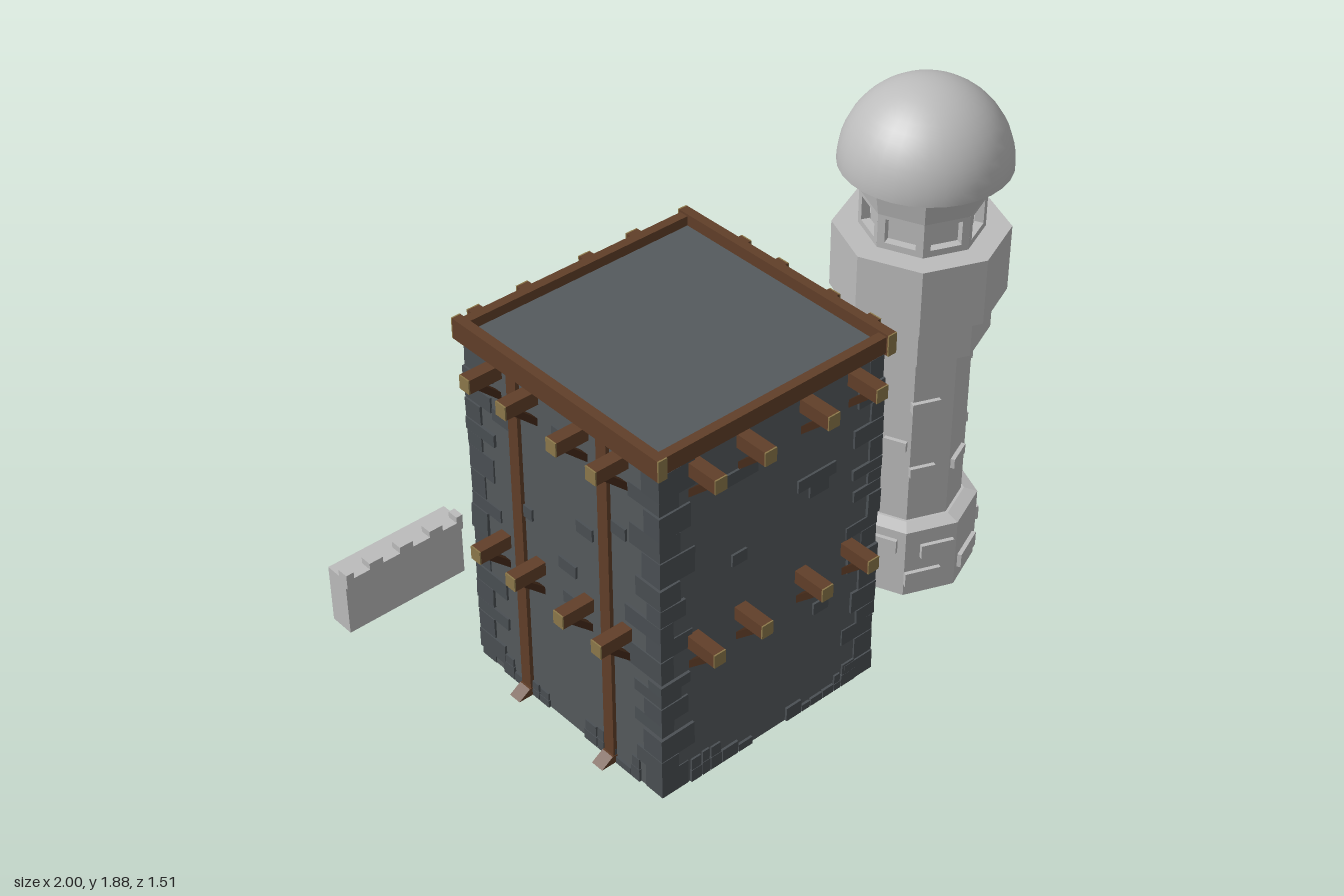
import * as THREE from 'three';

const mat = (name, color) => {
  const m = new THREE.MeshStandardMaterial({ color });
  m.name = name;
  return m;
};

export function createModel() {
  const M = {
    wall: mat('slate wall', 0x555a5d),
    stone: mat('dark stone', 0x4a4f53),
    wood: mat('brown timber', 0x613f29),
    darkWood: mat('dark timber', 0x462b1a),
    end: mat('cut timber end', 0x8c784a),
    door: mat('door wood', 0x6e4224),
    iron: mat('iron', 0x2c2c2e),
    grey: mat('pale grey stone', 0xbcbcbc),
  };
  const root = new THREE.Group();
  root.name = 'towerHouse';

  let seed = 7;
  const rnd = (a = 0, b = 1) => {
    seed = (seed * 16807) % 2147483647;
    return a + (b - a) * (seed / 2147483647);
  };
  const group = (parent, name, x = 0, y = 0, z = 0, ry = 0) => {
    const g = new THREE.Group();
    g.name = name;
    g.position.set(x, y, z);
    g.rotation.y = ry;
    parent.add(g);
    return g;
  };
  const add = (parent, name, geo, m, x = 0, y = 0, z = 0) => {
    const mesh = new THREE.Mesh(geo, m);
    mesh.name = name;
    mesh.position.set(x, y, z);
    parent.add(mesh);
    return mesh;
  };
  const box = (parent, name, m, w, h, d, x, y, z) =>
    add(parent, name, new THREE.BoxGeometry(w, h, d), m, x, y, z);
  // box given by its limits
  const span = (parent, name, m, x0, x1, y0, y1, z0, z1) =>
    box(parent, name, m, x1 - x0, y1 - y0, z1 - z0, (x0 + x1) / 2, (y0 + y1) / 2, (z0 + z1) / 2);

  // ---- square house ----
  const CX = -0.27, CZ = 0.175, HALF = 0.452;
  const house = group(root, 'house', CX, 0, CZ);
  span(house, 'walls', M.wall, -HALF, HALF, 0, 1.325, -HALF, HALF);

  // timber rim around the flat roof
  for (const s of [-1, 1]) {
    box(house, 'roofRimSide', M.wood, 0.034, 0.075, 0.95, s * 0.461, 1.33, 0);
    box(house, 'roofRimCross', M.wood, 0.9, 0.06, 0.034, 0, 1.33, s * 0.452);
    for (const t of [-1, 1])
      box(house, 'rimEnd', M.end, 0.034, 0.075, 0.006, s * 0.461, 1.33, t * 0.477);
  }

  // corner stones, alternating long and short
  const corners = group(house, 'cornerStones');
  for (const sx of [-1, 1]) for (const sz of [-1, 1]) {
    let y = 0, i = 0;
    while (y < 1.27) {
      const h = Math.min(rnd(0.035, 0.1), 1.3 - y);
      const longX = i++ % 2 === 0;
      const w = longX ? rnd(0.1, 0.14) : rnd(0.05, 0.085);
      const d = longX ? rnd(0.06, 0.09) : rnd(0.11, 0.18);
      const o = HALF + rnd(0.002, 0.011);
      const b = box(corners, 'cornerStone', M.stone, w, h - 0.004, d,
        sx * (o - w / 2), y + h / 2, sz * (o - d / 2));
      b.rotation.z = y > 0.1 ? rnd(-0.03, 0.03) : 0;
      y += h;
    }
  }

  // wall frames: local +z points outward, offsets run along the wall
  const beamsX = [-0.325, -0.13, 0.125, 0.325], beamsZ = [-0.295, -0.12, 0.115, 0.295];
  const sides = [
    { name: 'front', ry: 0, beams: beamsX },
    { name: 'back', ry: Math.PI, beams: beamsX.map(v => -v) },
    { name: 'right', ry: Math.PI / 2, beams: beamsZ.map(v => -v), posts: [0.212, -0.208] },
    { name: 'left', ry: -Math.PI / 2, beams: beamsZ, posts: [-0.212, 0.208] },
  ];
  const frontStones = [[-0.165, 1.135, 0.06], [-0.11, 1.135, 0.08], [0.14, 0.955, 0.08],
    [0.22, 0.955, 0.08], [0.19, 0.91, 0.08], [-0.14, 0.815, 0.06], [0.215, 0.415, 0.065]];
  for (const { name, ry, beams, posts } of sides) {
    const g = group(group(house, name + 'Side', 0, 0, 0, ry), 'details', 0, 0, HALF);
    // projecting joists with diagonal braces
    for (const y of [1.263, 0.595]) for (const x of beams) {
      box(g, 'joist', M.wood, 0.046, 0.05, 0.15, x, y, 0.045);
      box(g, 'joistEnd', M.end, 0.046, 0.05, 0.005, x, y, 0.1225);
      const b = box(g, 'brace', M.darkWood, 0.03, 0.125, 0.022, x, y - 0.062, 0.037);
      b.rotation.x = 0.82;
    }
    // upright posts with sloping feet
    for (const x of posts || []) {
      span(g, 'post', M.wood, x - 0.023, x + 0.023, 0, 1.3, -0.01, 0.014);
      const s = new THREE.Shape([[0, 0], [0.065, 0], [0.02, 0.03], [0, 0.03]].map(p => new THREE.Vector2(...p)));
      const foot = add(g, 'postFoot', new THREE.ExtrudeGeometry(s, { depth: 0.05, bevelEnabled: false }), M.wood, x + 0.025, 0, 0);
      foot.rotation.y = -Math.PI / 2;
    }
    // rubble along the ground
    for (let x = -0.34; x < 0.33;) {
      const w = rnd(0.03, 0.075), h = rnd(0.025, 0.055), mid = x + w / 2;
      if (Math.abs(mid) > (name === 'back' ? 0.17 : 0.09)) {
        box(g, 'baseStone', M.stone, w - 0.004, h, 0.03, mid, h / 2, -0.006);
        if (rnd() > 0.5) {
          const h2 = rnd(0.02, 0.05);
          box(g, 'baseStone', M.stone, w * 0.8, h2, 0.026, mid, h + h2 / 2, -0.006);
        }
      }
      x += w;
    }
    // scattered stones
    const list = name === 'front' ? frontStones : [...Array(7)].map((_, i) =>
      [rnd(-0.3, 0.3), 0.55 + 0.1 * i + (i > 0 ? 0.03 : 0), rnd(0.055, 0.09)]);
    for (const [x, y, w] of list) box(g, 'wallStone', M.stone, w, 0.045, 0.02, x, y, -0.002);

    if (name !== 'back') continue;
    // arched door with stone surround and steps
    const door = group(g, 'doorway');
    const s = new THREE.Shape();
    s.moveTo(-0.092, 0.07);
    s.lineTo(0.092, 0.07);
    s.lineTo(0.092, 0.325);
    s.absarc(0, 0.325, 0.092, 0, Math.PI);
    add(door, 'door', new THREE.ExtrudeGeometry(s, { depth: 0.012, bevelEnabled: false, curveSegments: 8 }), M.door);
    for (const x of [-0.046, 0, 0.046]) box(door, 'plankGap', M.darkWood, 0.004, 0.31, 0.004, x, 0.23, 0.012);
    for (const y of [0.14, 0.3]) box(door, 'hinge', M.iron, 0.12, 0.014, 0.006, -0.03, y, 0.014);
    add(door, 'ringHandle', new THREE.TorusGeometry(0.013, 0.003, 6, 12), M.iron, 0.06, 0.215, 0.016);
    for (const sx of [-1, 1]) for (let i = 0; i < 4; i++) {
      const w = i % 2 ? 0.046 : 0.056;
      box(door, 'jambStone', M.stone, w, 0.062, 0.04, sx * (0.09 + w / 2), 0.1 + i * 0.065, 0.008);
    }
    for (let i = 0; i < 9; i++) {
      const a = (i + 0.5) / 9 * Math.PI;
      const v = box(door, 'archStone', M.stone, 0.056, 0.042, 0.042,
        0.119 * Math.cos(a), 0.328 + 0.119 * Math.sin(a), 0.008);
      v.rotation.z = a;
    }
    for (let i = 0; i < 3; i++)
      span(door, 'step', M.stone, -0.14, 0.14, i * 0.025, i * 0.025 + 0.025, -0.01, 0.125 - i * 0.03);
  }

  // ---- octagonal tower ----
  const tower = group(root, 'tower', 0.705, 0, 0.275);
  const octagon = (name, r0, r1, y0, y1) => {
    const geo = new THREE.CylinderGeometry(r1, r0, y1 - y0, 8).toNonIndexed();
    geo.computeVertexNormals();
    add(tower, name, geo, M.grey, 0, (y0 + y1) / 2, 0);
  };
  octagon('towerBase', 0.247, 0.247, 0, 0.272);
  octagon('baseSlope', 0.247, 0.2, 0.272, 0.287);
  octagon('shaft', 0.19, 0.19, 0.28, 0.98);
  octagon('lowerCollar', 0.245, 0.245, 0.97, 1.125);
  octagon('upperCollar', 0.29, 0.29, 1.12, 1.362);
  octagon('lanternCore', 0.165, 0.165, 1.36, 1.49);
  octagon('lanternFlare', 0.205, 0.225, 1.485, 1.602);

  // lantern walls with a window in each face
  const FACE = Math.cos(Math.PI / 8);
  const faceGroup = (k, r, name) => group(group(tower, name, 0, 0, 0, (k + 0.5) * Math.PI / 4), name + 'Face', 0, 0, r * FACE);
  const rect = (P, w, y0, y1) => new P([[-w, y0], [w, y0], [w, y1], [-w, y1]].map(p => new THREE.Vector2(...p)));
  const panel = rect(THREE.Shape, 0.0785, 1.36, 1.49);
  panel.holes.push(rect(THREE.Path, 0.053, 1.385, 1.472));
  const panelGeo = new THREE.ExtrudeGeometry(panel, { depth: 0.03, bevelEnabled: false });
  for (let k = 0; k < 8; k++) add(faceGroup(k, 0.205, 'lanternWindow'), 'windowWall', panelGeo, M.grey, 0, 0, -0.03);

  // dome
  add(tower, 'dome', new THREE.SphereGeometry(0.283, 32, 12, 0, Math.PI * 2, 0, Math.PI / 2), M.grey, 0, 1.6, 0);
  add(tower, 'domeUnderside', new THREE.CircleGeometry(0.283, 32), M.grey, 0, 1.6, 0).rotation.x = Math.PI / 2;

  // raised stones: face, offset, height, width, thickness
  const shaftStones = [[7, -0.03, 0.765, 0.1], [7, -0.03, 0.495, 0.09], [0, -0.01, 0.485, 0.1], [1, -0.01, 0.84, 0.09],
    [1, -0.01, 0.575, 0.09], [2, 0, 0.4, 0.095], [3, 0.02, 0.72, 0.09], [6, 0.02, 0.6, 0.08], [5, 0, 0.68, 0.09],
    [5, -0.02, 0.44, 0.09], [4, 0.02, 0.83, 0.09], [4, -0.01, 0.55, 0.1]];
  const baseStones = [[7, 0.02, 0.185, 0.12], [7, -0.03, 0.075, 0.13], [0, 0, 0.085, 0.14], [6, 0, 0.21, 0.13],
    [1, -0.02, 0.165, 0.13], [2, 0.02, 0.07, 0.13], [3, -0.02, 0.17, 0.12], [4, 0.01, 0.08, 0.13], [5, 0, 0.18, 0.12]];
  for (const [list, r, h] of [[shaftStones, 0.19, 0.038], [baseStones, 0.247, 0.055]])
    for (const [k, x, y, w] of list)
      box(faceGroup(k, r, 'raisedStone'), 'stone', M.grey, w, h, 0.03, x, y, 0);

  // ---- loose battlement wall ----
  const fence = group(root, 'battlementWall');
  span(fence, 'wallBody', M.grey, -1, -0.515, 0, 0.23, -0.757, -0.66);
  span(fence, 'parapet', M.grey, -1, -0.515, 0.197, 0.232, -0.695, -0.65);
  for (const [a, b] of [[-1, -0.97], [-0.905, -0.85], [-0.78, -0.725], [-0.655, -0.6], [-0.54, -0.515]])
    span(fence, 'merlon', M.grey, a, b, 0.23, 0.257, -0.695, -0.65);

  return root;
}
